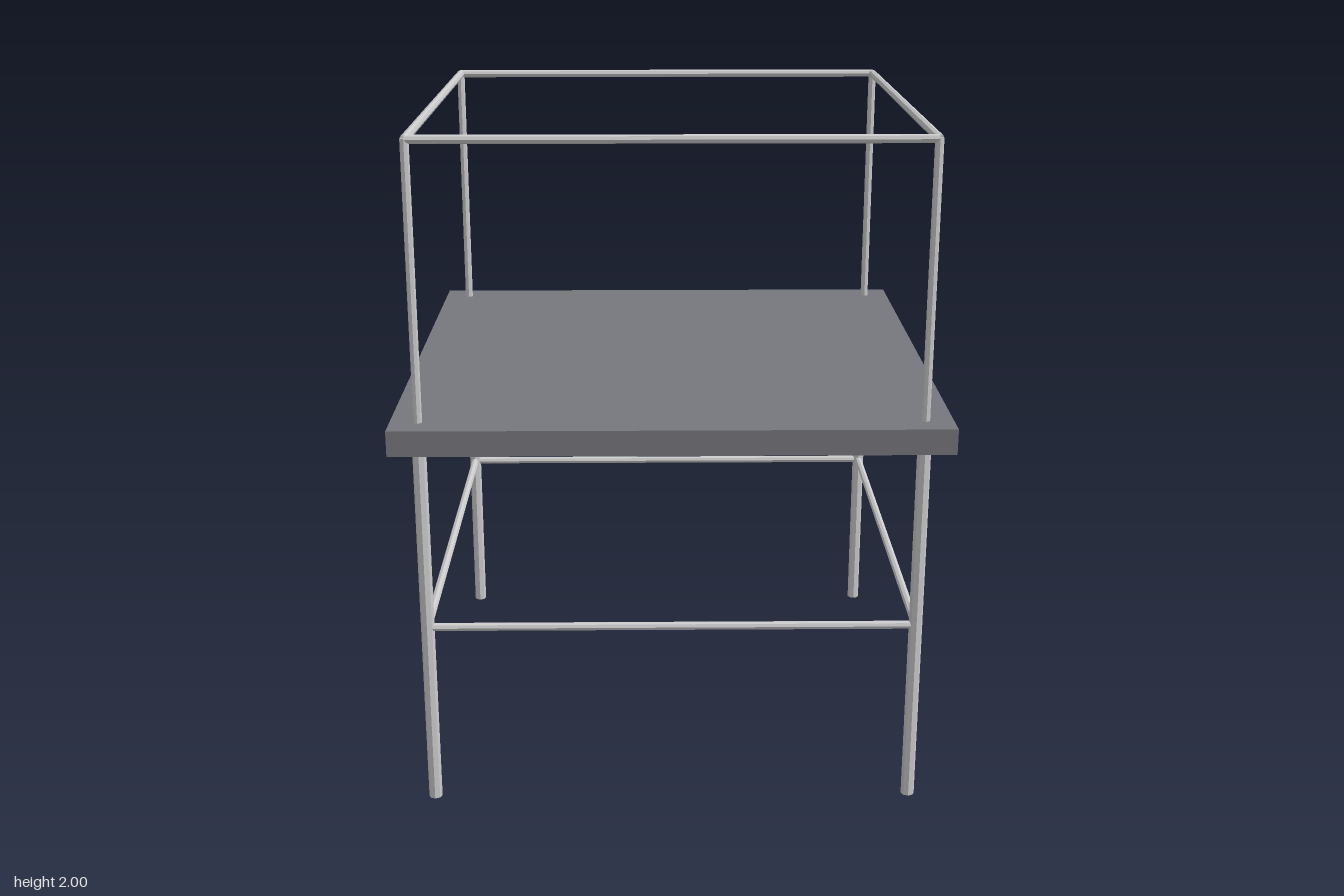
import * as THREE from 'three';

export function createModel() {
  const model = new THREE.Group();
  model.name = 'tableWithFrame';
  const metal = new THREE.MeshStandardMaterial({ color: 0xcccccc, flatShading: true });
  const slab = new THREE.MeshStandardMaterial({ color: 0x77787d });
  const inset = 0.715; // distance of posts and rails from the centre

  const add = (name, geometry, material, x, y, z) => {
    const mesh = new THREE.Mesh(geometry, material);
    mesh.name = name;
    mesh.position.set(x, y, z);
    model.add(mesh);
    return mesh;
  };

  // Square slab
  add('tableTop', new THREE.BoxGeometry(1.59, 0.075, 1.59), slab, 0, 1.155, 0);

  // Thick legs below the slab, thin posts above it
  const leg = new THREE.CylinderGeometry(0.02, 0.02, 1.12, 8);
  const post = new THREE.CylinderGeometry(0.0125, 0.0125, 0.8, 8);
  for (const x of [-inset, inset]) {
    for (const z of [-inset, inset]) {
      const corner = (z > 0 ? 'front' : 'back') + (x > 0 ? 'Left' : 'Right');
      add(corner + 'Leg', leg, metal, x, 0.56, z);
      add(corner + 'Post', post, metal, x, 1.19 + 0.4, z);
    }
  }

  // Square rings of rails: stretchers between the legs and the upper frame
  const rail = new THREE.CylinderGeometry(0.0125, 0.0125, inset * 2, 8);
  for (const [name, y] of [['Stretcher', 0.56], ['TopRail', 1.9875]]) {
    for (const s of [-1, 1]) {
      add((s > 0 ? 'front' : 'back') + name, rail, metal, 0, y, s * inset).rotation.z = Math.PI / 2;
      add((s > 0 ? 'left' : 'right') + name, rail, metal, s * inset, y, 0).rotation.x = Math.PI / 2;
    }
  }
  return model;
}
